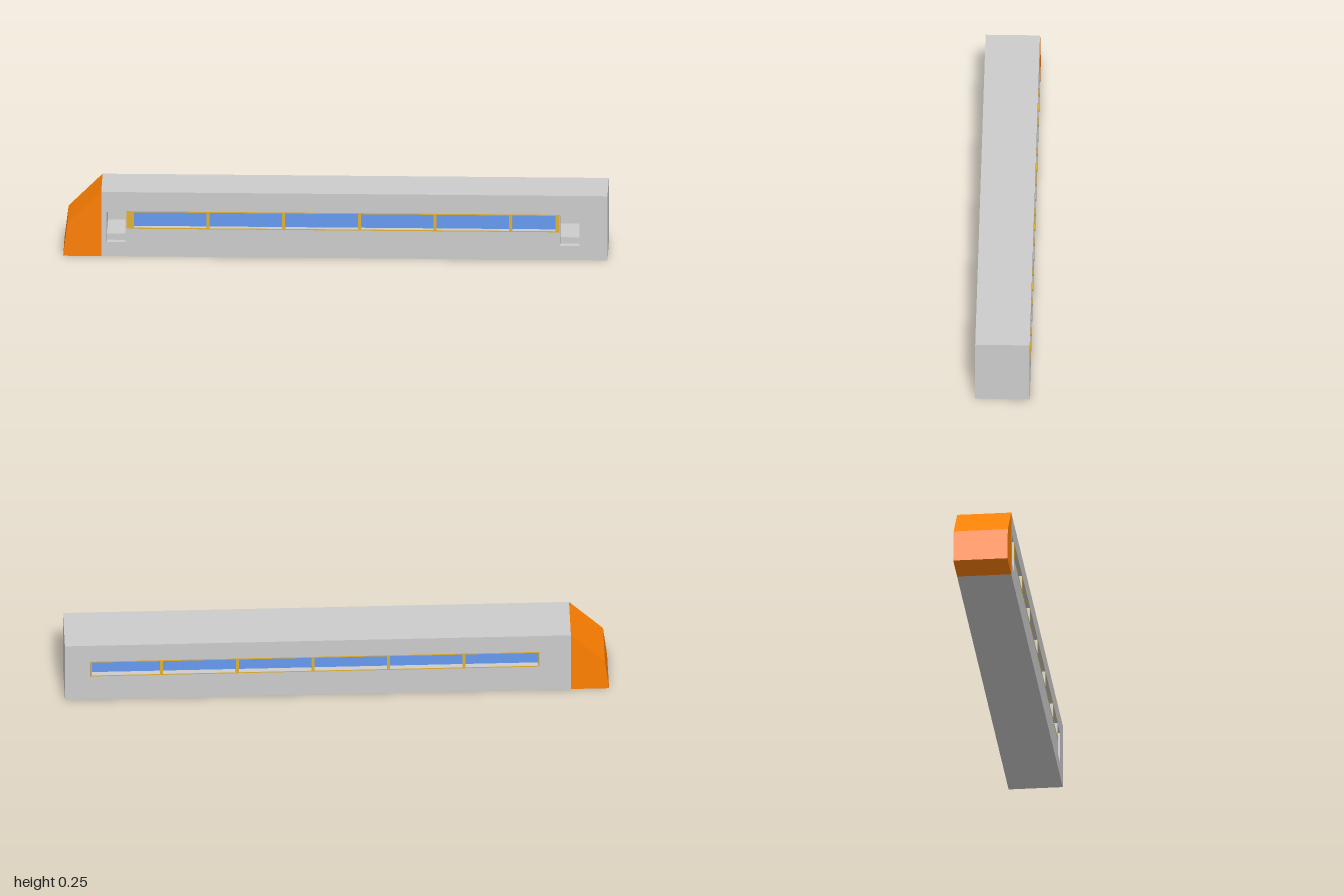
import * as THREE from 'three';

const grey = new THREE.MeshStandardMaterial({ color: 0xcccccc });
const orange = new THREE.MeshStandardMaterial({ color: 0xff8000 });
const blue = new THREE.MeshStandardMaterial({ color: 0x6699f0 });
const yellow = new THREE.MeshStandardMaterial({ color: 0xe0b030 });

const TOP = 0.25, HALF = 0.1, WALL = 0.025;
const REAR = -0.86; // where the nose meets the body
const WIN = [0.112, 0.172];
const SILL = 0.055;

// rectangle outline as a list of points
const rect = (x0, y0, x1, y1) =>
  [[x0, y0], [x1, y0], [x1, y1], [x0, y1]].map(p => new THREE.Vector2(...p));

// flat plate with rectangular holes, from z to z + depth
function plate(outline, holes, z, depth, material, name) {
  const shape = new THREE.Shape(outline);
  for (const h of holes) shape.holes.push(new THREE.Path(rect(...h)));
  const geo = new THREE.ExtrudeGeometry(shape, { depth, bevelEnabled: false });
  const mesh = new THREE.Mesh(geo.translate(0, 0, z), material);
  mesh.name = name;
  return mesh;
}

// box given by its limits
function box(x0, x1, y0, y1, z0, z1, material, name) {
  const mesh = new THREE.Mesh(new THREE.BoxGeometry(x1 - x0, y1 - y0, z1 - z0), material);
  mesh.position.set((x0 + x1) / 2, (y0 + y1) / 2, (z0 + z1) / 2);
  mesh.name = name;
  return mesh;
}

// one long side: wall with openings, recessed glass, thin coloured trim
function side(sign, windows, doors, trimStart, trimEnd, name) {
  const group = new THREE.Group();
  group.name = name;
  const holes = windows.map(([a, b]) => [a, WIN[0], b, WIN[1]]);
  const doorHoles = doors.map(([a, b]) => [a, SILL, b, WIN[1]]);
  const zWall = sign > 0 ? HALF - WALL : -HALF;
  group.add(plate(rect(REAR, 0, 1, TOP), [...holes, ...doorHoles], zWall, WALL, grey, 'sideWall'));

  const zGlass = sign * (HALF - 0.022);
  for (const [a, b] of windows)
    group.add(box(a, b, WIN[0], WIN[1], zGlass - 0.002, zGlass + 0.002, blue, 'windowGlass'));

  const outline = rect(trimStart, WIN[0] - 0.004, trimEnd, WIN[1] + 0.004);
  group.add(plate(outline, holes, sign > 0 ? HALF : -HALF - 0.0008, 0.0008, yellow, 'windowTrim'));
  return group;
}

export function createModel() {
  const train = new THREE.Group();
  train.name = 'trainCar';

  // evenly spaced windows; the last one is cut short by the front door
  const windowRow = lastEnd => Array.from({ length: 6 }, (_, i) => {
    const start = -0.74 + i * 0.278;
    return [start, i === 5 ? lastEnd : start + 0.267];
  });
  const doors = [[-0.84, -0.77], [0.826, 0.897]];
  train.add(side(1, windowRow(0.81), doors, -0.768, 0.824, 'frontSide'));
  train.add(side(-1, windowRow(0.9), [], -0.745, 0.905, 'backSide'));

  // floor, roof and end walls enclosing the hollow cabin
  const inner = HALF - WALL;
  train.add(box(REAR, 1, 0, 0.08, -inner, inner, grey, 'floor'));
  train.add(box(REAR, 1, 0.22, TOP, -inner, inner, grey, 'roof'));
  train.add(box(REAR, -0.84, 0.08, 0.22, -inner, inner, grey, 'cabBulkhead'));
  train.add(box(0.9, 1, 0.08, 0.22, -inner, inner, grey, 'endWall'));

  // sloping nose
  const profile = [[-1, 0], [REAR, 0], [REAR, TOP], [-0.985, 0.125]].map(p => new THREE.Vector2(...p));
  train.add(plate(profile, [], -HALF, 2 * HALF, orange, 'nose'));

  return train;
}
